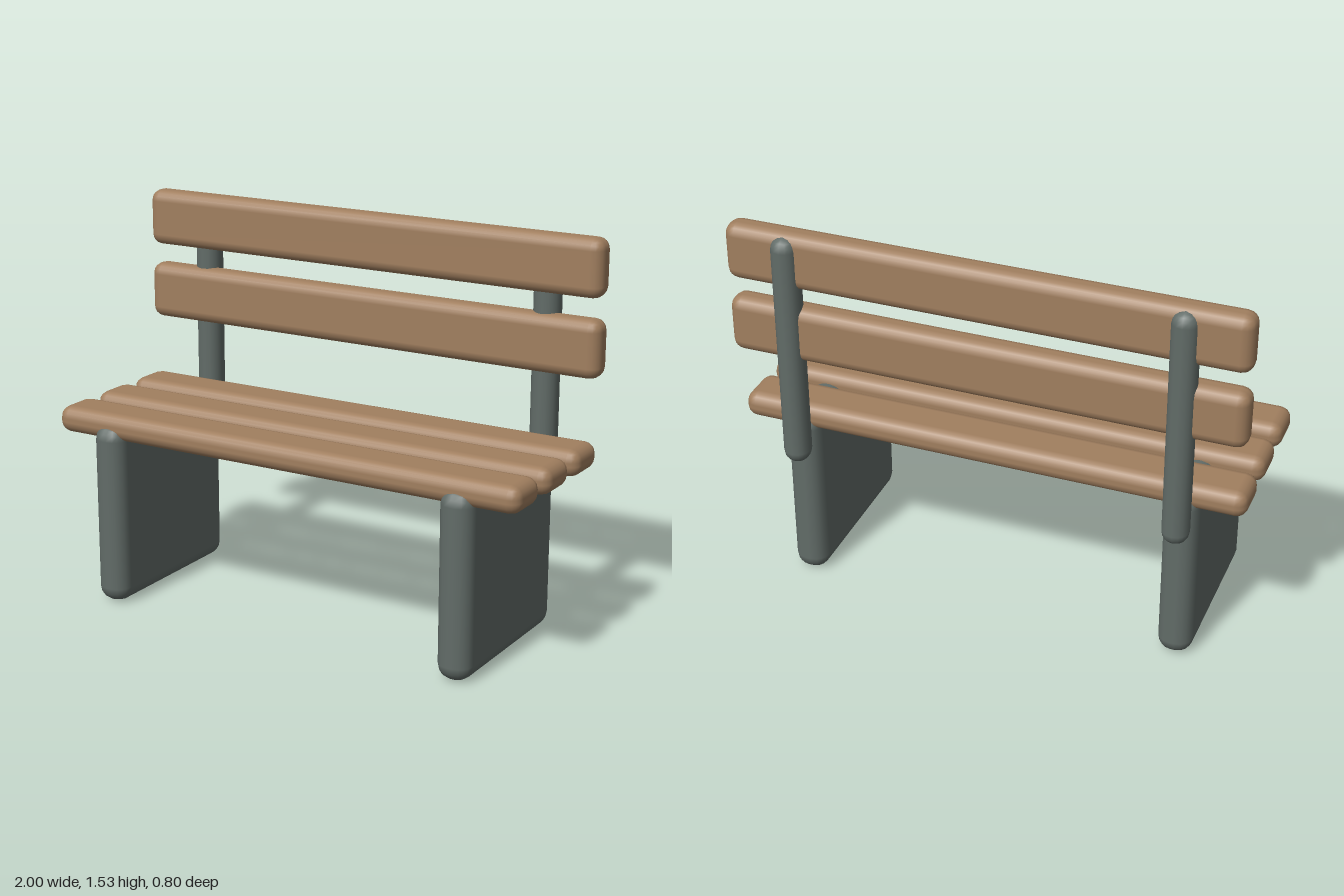
import * as THREE from 'three';
import { RoundedBoxGeometry } from 'three/addons/geometries/RoundedBoxGeometry.js';

export function createModel() {
  const bench = new THREE.Group();
  bench.name = 'bench';

  const wood = new THREE.MeshStandardMaterial({ color: 0xa17f5f });
  const metal = new THREE.MeshStandardMaterial({ color: 0x626c68 });

  // Rounded block given by its centre x and its extents in y and z
  function block(name, material, x, width, [y0, y1], [z0, z1], radius) {
    const geometry = new RoundedBoxGeometry(width, y1 - y0, z1 - z0, 2, radius);
    const mesh = new THREE.Mesh(geometry, material);
    mesh.name = name;
    mesh.position.set(x, (y0 + y1) / 2, (z0 + z1) / 2);
    bench.add(mesh);
  }

  // Slab leg and back post on each side
  for (const [side, sign] of [['left', 1], ['right', -1]]) {
    const x = sign * 0.757;
    block(side + 'Leg', metal, x, 0.136, [0, 0.725], [-0.325, 0.4], 0.06);
    block(side + 'BackPost', metal, x, 0.104, [0.55, 1.515], [-0.4, -0.29], 0.051);
  }

  // Seat slats, front to back
  [0.279, 0.035, -0.209].forEach((z, i) => {
    block('seatSlat' + (i + 1), wood, 0, 2, [0.663, 0.768], [z - 0.097, z + 0.097], 0.045);
  });

  // Backrest slats, bottom to top
  [1.111, 1.414].forEach((y, i) => {
    block('backSlat' + (i + 1), wood, 0, 2, [y - 0.113, y + 0.113], [-0.37, -0.26], 0.045);
  });

  return bench;
}
